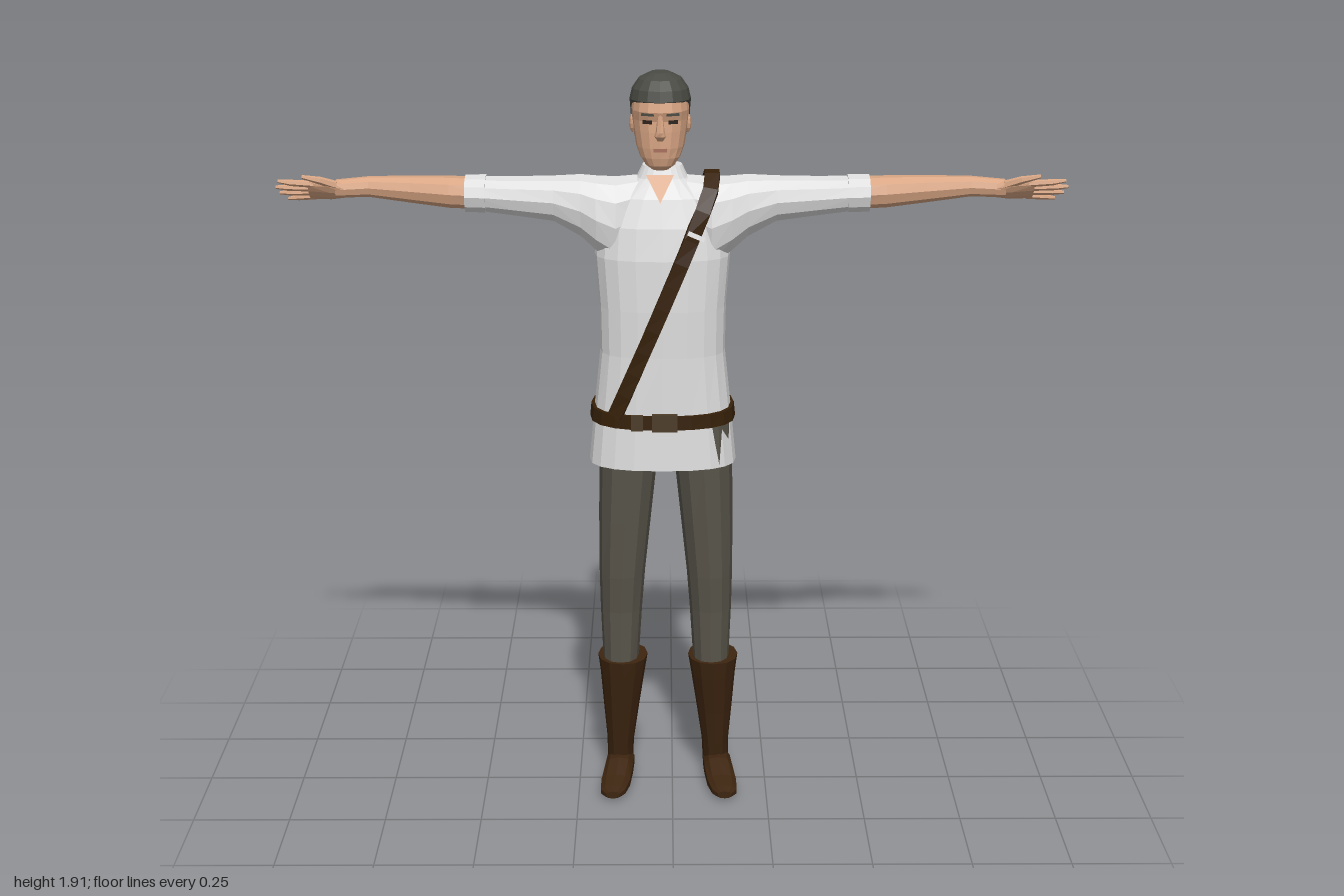
import * as THREE from 'three';

const mat = (name, color) => {
  const m = new THREE.MeshStandardMaterial({ color });
  m.name = name;
  return m;
};
const V = (x, y, z) => new THREE.Vector3(x, y, z);
const BODY_X = -0.025; // the trunk sits slightly to one side

// Superellipse ring across an axis: centre (c1, c2), radii (r1, r2)
function ring(axis, pos, c1, r1, c2, r2, n = 12, p = 2) {
  const pts = [];
  const pw = (v) => Math.sign(v) * Math.pow(Math.abs(v), 2 / p);
  for (let i = 0; i < n; i++) {
    const a = (i / n) * Math.PI * 2;
    const u = c1 + r1 * pw(Math.sin(a)), v = c2 + r2 * pw(Math.cos(a));
    pts.push(axis === 'y' ? V(u, pos, v) : axis === 'x' ? V(pos, u, v) : V(u, v, pos));
  }
  return pts;
}

// Faceted, capped skin over a list of rings, always wound outwards
function loft(rings) {
  const tris = [], n = rings[0].length;
  const mid = (r) => r.reduce((s, v) => s.add(v), V(0, 0, 0)).divideScalar(n);
  const last = rings.length - 1, c0 = mid(rings[0]), c1 = mid(rings[last]);
  for (let j = 0; j < n; j++) {
    const k = (j + 1) % n;
    for (let i = 0; i < last; i++) {
      const a = rings[i], b = rings[i + 1];
      tris.push([a[j], a[k], b[k]], [a[j], b[k], b[j]]);
    }
    tris.push([c0, rings[0][k], rings[0][j]], [c1, rings[last][j], rings[last][k]]);
  }
  let vol = 0;
  for (const [a, b, c] of tris) vol += a.dot(b.clone().cross(c));
  const pts = tris.flatMap(([a, b, c]) => (vol < 0 ? [a, c, b] : [a, b, c]));
  const g = new THREE.BufferGeometry().setFromPoints(pts);
  g.computeVertexNormals();
  return g;
}

// Tunic profile: y, half width, front z, back z
const TORSO = [
  [0.905, 0.19, 0.095, -0.142], [1.04, 0.177, 0.088, -0.137], [1.2, 0.16, 0.087, -0.135],
  [1.32, 0.162, 0.09, -0.138], [1.45, 0.172, 0.088, -0.14], [1.53, 0.165, 0.075, -0.128],
  [1.6, 0.12, 0.052, -0.108], [1.645, 0.065, 0.02, -0.09], [1.675, 0.05, 0.008, -0.085],
];
const P = 2.5;
function torsoAt(y) {
  let i = 0;
  while (i < TORSO.length - 2 && TORSO[i + 1][0] < y) i++;
  const a = TORSO[i], b = TORSO[i + 1], t = (y - a[0]) / (b[0] - a[0]);
  return a.map((v, k) => v + (b[k] - v) * t);
}
const torsoRing = ([y, rx, zf, zb], grow = 0) =>
  ring('y', y, BODY_X, rx + grow, (zf + zb) / 2, (zf - zb) / 2 + grow, 20, P);

export function createModel() {
  const cloth = mat('tunic cloth', 0xdedede), skin = mat('skin', 0xd9a684);
  const wool = mat('trouser wool', 0x58544a), leather = mat('boot leather', 0x3d2510);
  const strapMat = mat('belt leather', 0x362009), hairMat = mat('hair', 0x4b4b45);
  const metal = mat('dark metal', 0x4d3c28), dark = mat('eye dark', 0x2c211b);
  const lip = mat('lips', 0xa8705c);
  const model = new THREE.Group();
  model.name = 'tunicFigure';
  const add = (name, geo, m, parent = model) => {
    const mesh = new THREE.Mesh(geo, m);
    mesh.name = name;
    parent.add(mesh);
    return mesh;
  };

  // Tunic with a hollow hem, and the belt that follows it
  add('tunic', loft([torsoRing([1.0, 0.17, 0.08, -0.125]), ...TORSO.map((r) => torsoRing(r))]), cloth);
  const belt = [1.022, 1.057].map((y) => torsoRing(torsoAt(y), 0.009));
  belt.flat().forEach((v) => { v.y -= (v.z + 0.025) * 0.06; });
  add('belt', loft(belt), strapMat);
  add('beltBuckle', new THREE.BoxGeometry(0.065, 0.045, 0.012), metal).position.set(-0.02, 1.035, 0.1);
  add('beltLoop', new THREE.BoxGeometry(0.03, 0.04, 0.012), metal).position.set(-0.09, 1.035, 0.097);

  // Shoulder strap, up the chest, over the shoulder and down the back
  const path = [];
  const onTorso = (t, side) => {
    const y = 1.045 + t * 0.455, x = -0.145 + t * 0.19;
    const [, rx, zf, zb] = torsoAt(y), rz = (zf - zb) / 2, zc = (zf + zb) / 2;
    const k = Math.abs((x - BODY_X) / rx);
    const z = side * rz * Math.pow(1 - Math.pow(k, P), 1 / P);
    const n = V(Math.sign(x - BODY_X) * Math.pow(k, P - 1) / rx, 0, side * Math.pow(Math.abs(z) / rz, P - 1) / rz);
    return { p: V(x, y, z + zc), n: n.normalize() };
  };
  for (let i = 0; i <= 8; i++) path.push(onTorso(i / 8, 1));
  for (const [x, y, z] of [[0.075, 1.57, 0.066], [0.095, 1.62, 0.038], [0.1, 1.648, -0.005],
    [0.1, 1.648, -0.055], [0.095, 1.62, -0.1], [0.075, 1.57, -0.122]])
    path.push({ p: V(x, y, z), n: V(0, y - 1.53, z + 0.03).normalize() });
  for (let i = 8; i >= 0; i--) path.push(onTorso(i / 8, -1));
  add('shoulderStrap', loft(path.map(({ p, n }, i) => {
    const d = path[Math.min(i + 1, path.length - 1)].p.clone().sub(path[Math.max(i - 1, 0)].p);
    const w = d.cross(n).normalize().multiplyScalar(0.019);
    return [[1, 0.01], [1, -0.012], [-1, -0.012], [-1, 0.01]].map(([s, h]) =>
      p.clone().addScaledVector(w, s).addScaledVector(n, h));
  })), strapMat);
  const clasp = add('strapClasp', new THREE.BoxGeometry(0.044, 0.012, 0.009), cloth);
  clasp.position.set(0.059, 1.515, 0.089);
  clasp.rotation.set(-0.2, 0, -0.4);

  // Open neckline
  const neckline = new THREE.BufferGeometry().setFromPoints(
    [V(-0.066, 1.657, 0.021), V(-0.03, 1.593, 0.061), V(0.004, 1.657, 0.021)]);
  neckline.computeVertexNormals();
  add('necklineSkin', neckline, skin);

  // Arms
  for (const s of [1, -1]) {
    const side = s > 0 ? 'left' : 'right';
    const place = (v) => V(s * v.x + BODY_X * Math.max(0, 1 - v.x), v.y, v.z);
    const limb = (rows, n) => loft(rows.map(([x, cy, ry, cz, rz]) =>
      ring('x', x, cy, ry, cz, rz, n, 2.2).map(place)));
    add(side + 'Sleeve', limb([
      [0.06, 1.55, 0.1, -0.03, 0.07], [0.12, 1.53, 0.115, -0.03, 0.095], [0.17, 1.55, 0.097, -0.031, 0.092],
      [0.21, 1.57, 0.08, -0.033, 0.08], [0.28, 1.588, 0.058, -0.036, 0.068], [0.38, 1.594, 0.05, -0.037, 0.063],
      [0.47, 1.6, 0.044, -0.038, 0.06]], 12), cloth);
    add(side + 'Cuff', limb([[0.455, 1.6, 0.048, -0.038, 0.066], [0.508, 1.601, 0.047, -0.038, 0.065]], 12), cloth);
    add(side + 'Forearm', limb([
      [0.45, 1.6, 0.04, -0.04, 0.05], [0.55, 1.603, 0.04, -0.045, 0.046], [0.65, 1.608, 0.034, -0.054, 0.038],
      [0.76, 1.614, 0.026, -0.058, 0.028], [0.845, 1.61, 0.023, -0.052, 0.025]], 10), skin);

    // Hand laid out flat, then tilted so the thumb points up and forward
    const hand = new THREE.Group();
    hand.name = side + 'Hand';
    model.add(hand);
    const tilt = (v) => place(v.applyAxisAngle(V(1, 0, 0), -0.75).add(V(0.83, 1.607, -0.05)));
    const handPart = (name, rows, n) => add(name, loft(rows.map(([x, z, rz, ry]) =>
      ring('x', x, 0, ry, z, rz, n).map(tilt))), skin, hand);
    handPart('palm', [[-0.01, 0, 0.024, 0.018], [0.03, 0, 0.036, 0.017], [0.085, -0.001, 0.037, 0.011]], 10);
    [0.16, 0.17, 0.163, 0.145].forEach((tip, j) => {
      const z0 = 0.026 - 0.018 * j, z1 = 0.04 - 0.027 * j;
      handPart('finger', [[0.07, z0, 0.009, 0.009], [tip - 0.03, (z0 + z1) / 2, 0.008, 0.008], [tip, z1, 0.004, 0.004]], 6);
    });
    handPart('thumb', [[0.01, 0.018, 0.014, 0.012], [0.05, 0.042, 0.011, 0.01], [0.095, 0.06, 0.005, 0.005]], 6);

    // Trouser leg and boot
    const column = (rows, mid, n) => loft(rows.map(([y, off, rx, cz, rz]) =>
      ring('y', y, mid + s * off, rx, cz, rz, n, 2.2)));
    add(side + 'TrouserLeg', column([
      [0.33, 0.12, 0.046, -0.008, 0.063], [0.5, 0.118, 0.055, -0.013, 0.069], [0.6, 0.115, 0.06, -0.013, 0.078],
      [0.75, 0.107, 0.068, -0.016, 0.086], [0.9, 0.098, 0.075, -0.018, 0.092], [1.03, 0.095, 0.075, -0.02, 0.092]], -0.017, 12), wool);
    add(side + 'BootShaft', column([
      [0.02, 0.13, 0.034, -0.056, 0.05], [0.1, 0.128, 0.036, -0.047, 0.058], [0.2, 0.125, 0.047, -0.035, 0.066],
      [0.31, 0.121, 0.059, -0.018, 0.075], [0.36, 0.12, 0.066, -0.012, 0.079]], -0.012, 12), leather);
    add(side + 'BootFoot', loft([
      [-0.11, 0.13, 0.028, 0.024, 0.02], [-0.04, 0.13, 0.038, 0.036, 0.034], [0.02, 0.134, 0.039, 0.036, 0.034],
      [0.08, 0.142, 0.04, 0.024, 0.023], [0.125, 0.148, 0.034, 0.02, 0.017], [0.148, 0.148, 0.018, 0.02, 0.01],
    ].map(([z, off, rx, cy, ry]) => ring('z', z, -0.01 + s * off, rx, cy, ry, 10, 2.4))), leather);
  }

  // Head, neck, nose and hair share one row format: y, half width, front z, back z
  const HX = -0.03;
  const headPart = (name, rows, m, n = 16, p = 2.2) => add(name, loft(rows.map(([y, rx, zf, zb]) =>
    ring('y', y, HX, rx, (zf + zb) / 2, (zf - zb) / 2, n, p))), m);
  headPart('neck', [[1.6, 0.045, 0.012, -0.08], [1.68, 0.038, 0.008, -0.077], [1.75, 0.04, 0.01, -0.078]], skin, 12);
  headPart('head', [
    [1.674, 0.02, 0.05, 0.01], [1.685, 0.036, 0.06, -0.012], [1.705, 0.05, 0.066, -0.035], [1.73, 0.06, 0.07, -0.07],
    [1.77, 0.067, 0.071, -0.09], [1.797, 0.071, 0.07, -0.097], [1.82, 0.072, 0.078, -0.1],
    [1.86, 0.066, 0.07, -0.095], [1.89, 0.04, 0.045, -0.07]], skin);
  headPart('nose', [[1.75, 0.009, 0.075, 0.04], [1.762, 0.016, 0.088, 0.04], [1.772, 0.012, 0.09, 0.04],
    [1.815, 0.007, 0.077, 0.04]], skin, 8);
  headPart('hair', [
    [1.715, 0.045, -0.045, -0.088], [1.74, 0.064, -0.032, -0.1], [1.78, 0.073, -0.024, -0.106],
    [1.815, 0.075, -0.008, -0.108], [1.833, 0.076, 0.035, -0.107], [1.846, 0.076, 0.082, -0.106],
    [1.872, 0.07, 0.076, -0.098], [1.895, 0.054, 0.056, -0.078], [1.91, 0.024, 0.025, -0.045]], hairMat);
  for (const s of [1, -1]) {
    const plate = (name, w, h, y, z, m) => {
      const b = add(name, new THREE.BoxGeometry(w, h, 0.008), m);
      b.position.set(HX + s * 0.031, y, z);
      b.rotation.y = s * 0.28;
    };
    plate('eye', 0.024, 0.009, 1.796, 0.062, dark);
    plate('eyebrow', 0.032, 0.006, 1.815, 0.068, hairMat);
    const ear = new THREE.SphereGeometry(1, 8, 6).scale(0.008, 0.024, 0.015).toNonIndexed();
    ear.computeVertexNormals();
    add('ear', ear, skin).position.set(HX + s * 0.069, 1.783, -0.012);
  }
  add('mouth', new THREE.BoxGeometry(0.034, 0.008, 0.008), lip).position.set(HX, 1.727, 0.068);
  return model;
}
